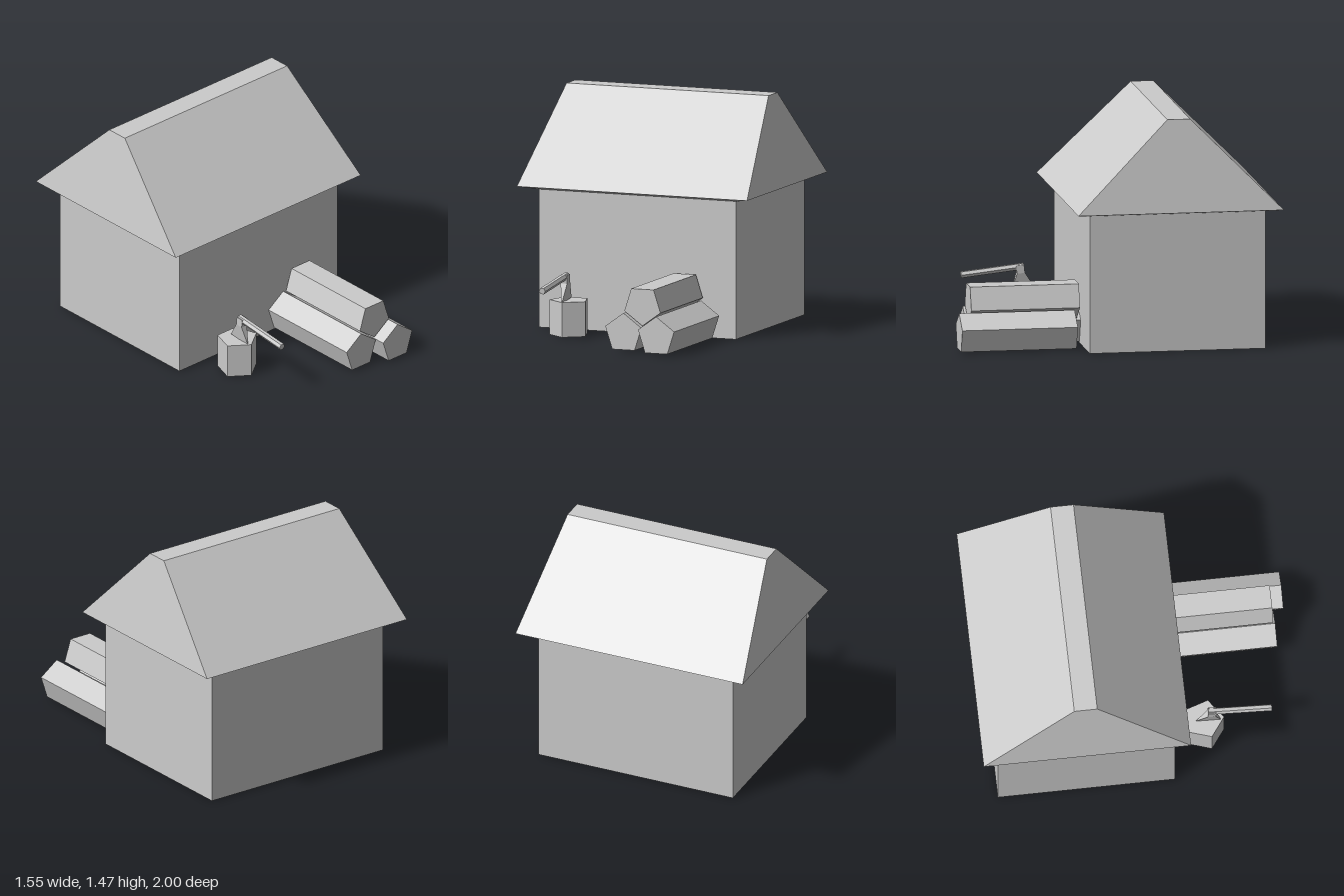
import * as THREE from 'three';

const material = new THREE.MeshStandardMaterial({ color: 0xcccccc, flatShading: true });

function addMesh(parent, name, geometry, x = 0, y = 0, z = 0) {
  const mesh = new THREE.Mesh(geometry, material);
  mesh.name = name;
  mesh.position.set(x, y, z);
  parent.add(mesh);
  return mesh;
}

// Solid through stacked rectangles, listed bottom to top: [halfWidth, y, zBack, zFront]
function stackedRects(rings) {
  const positions = [];
  const index = [];
  for (const [w, y, z0, z1] of rings) {
    positions.push(-w, y, z1, w, y, z1, w, y, z0, -w, y, z0);
  }
  for (let r = 0; r < rings.length - 1; r++) {
    for (let i = 0; i < 4; i++) {
      const a = r * 4 + i;
      const b = r * 4 + (i + 1) % 4;
      index.push(a, b, b + 4, a, b + 4, a + 4);
    }
  }
  const t = (rings.length - 1) * 4;
  index.push(0, 2, 1, 0, 3, 2, t, t + 1, t + 2, t, t + 2, t + 3);
  const geometry = new THREE.BufferGeometry();
  geometry.setAttribute('position', new THREE.Float32BufferAttribute(positions, 3));
  geometry.setIndex(index);
  const flat = geometry.toNonIndexed();
  flat.computeVertexNormals();
  return flat;
}

// Prism lying along z
function prismZ(radius, length, sides, thetaStart) {
  return new THREE.CylinderGeometry(radius, radius, length, sides, 1, false, thetaStart).rotateX(Math.PI / 2);
}

export function createModel() {
  const model = new THREE.Group();
  model.name = 'woodcutterHut';

  // Hut with an overhanging, flat-topped roof
  addMesh(model, 'walls', new THREE.BoxGeometry(1.33, 0.87, 1.11), 0, 0.435, -0.345);
  addMesh(model, 'roof', stackedRects([
    [0.665, 0.87, -0.9, 0.21],
    [0.777, 0.893, -1, 0.3],
    [0.682, 1.47, -0.422, -0.278],
  ]));

  // Pile of three logs: [name, x, y, zBack, zFront, rotation]
  const pile = new THREE.Group();
  pile.name = 'logPile';
  model.add(pile);
  const logs = [
    ['lowerRightLog', 0.207, 0.113, 0.21, 0.935, Math.PI],
    ['lowerLeftLog', 0.455, 0.113, 0.27, 1, Math.PI],
    ['topLog', 0.33, 0.293, 0.235, 0.922, 0],
  ];
  for (const [name, x, y, z0, z1, turn] of logs) {
    addMesh(pile, name, prismZ(0.128, z1 - z0, 5, turn), x, y, (z0 + z1) / 2);
  }

  // Chopping block
  addMesh(model, 'choppingBlock', new THREE.CylinderGeometry(0.128, 0.128, 0.22, 5), -0.368, 0.11, 0.423);

  // Axe stuck in the block, handle sloping down to the front
  const axe = new THREE.Group();
  axe.name = 'axe';
  axe.position.set(-0.378, 0.376, 0.45);
  axe.rotation.x = 0.11;
  model.add(axe);
  addMesh(axe, 'axeHandle', prismZ(0.022, 0.4, 6, Math.PI / 2), 0, 0, 0.2);
  addMesh(axe, 'axeHead', stackedRects([
    [0.001, -0.156, -0.06, 0.1],
    [0.022, -0.04, 0, 0.05],
    [0.022, 0.012, 0, 0.05],
  ]));

  return model;
}
